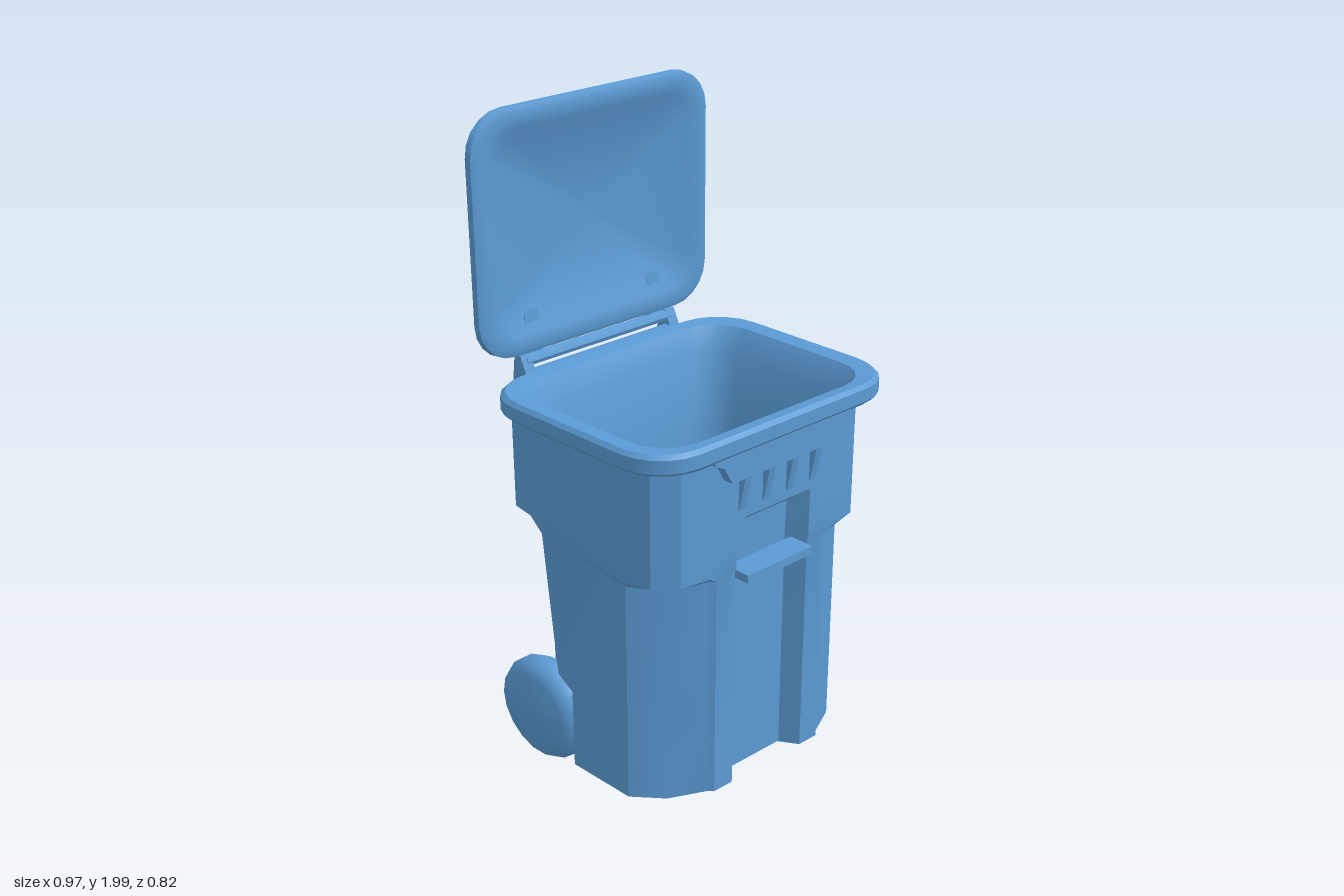
import * as THREE from 'three';
import { toCreasedNormals } from 'three/addons/utils/BufferGeometryUtils.js';

const material = new THREE.MeshStandardMaterial({ color: 0x5b9bd5, side: THREE.DoubleSide });

// The whole bin leans: depth pushes sideways and width turns slightly backwards.
const skew = new THREE.Matrix4().set(
  1, 0, 0.155, -0.008,
  0, 1, 0, 0,
  -0.055, 0, 1, 0,
  0, 0, 0, 1);

function add(group, name, geometry, crease = 0.6) {
  geometry.applyMatrix4(skew);
  const mesh = new THREE.Mesh(toCreasedNormals(geometry, crease), material);
  mesh.name = name;
  group.add(mesh);
}

// Skin a stack of rings (counter-clockwise seen from +y), with optional end caps.
function loft(rings, capStart, capEnd) {
  const n = rings[0].length, pos = [], idx = [];
  rings.forEach(r => r.forEach(p => pos.push(...p)));
  for (let k = 0; k < rings.length - 1; k++) {
    for (let i = 0; i < n; i++) {
      const a = k * n + i, b = k * n + (i + 1) % n;
      idx.push(a, b, b + n, a, b + n, a + n);
    }
  }
  const cap = (k, flip) => {
    const c = pos.length / 3, sum = [0, 0, 0];
    rings[k].forEach(p => p.forEach((v, j) => { sum[j] += v / n; }));
    pos.push(...sum);
    for (let i = 0; i < n; i++) {
      const a = k * n + i, b = k * n + (i + 1) % n;
      idx.push(c, flip ? b : a, flip ? a : b);
    }
  };
  if (capStart) cap(0, true);
  if (capEnd) cap(rings.length - 1, false);
  const g = new THREE.BufferGeometry();
  g.setAttribute('position', new THREE.Float32BufferAttribute(pos, 3));
  g.setIndex(idx);
  g.computeVertexNormals();
  return g;
}

// Rounded rectangle ring: half width, half depth, corner radius, height, centre z.
function roundRing(hx, hz, r, y, cz = 0, steps = 5) {
  const ring = [];
  for (let q = 0; q < 4; q++) {
    const sx = q < 2 ? 1 : -1, sz = q === 0 || q === 3 ? 1 : -1;
    for (let i = 0; i <= steps; i++) {
      const t = (q + i / steps) * Math.PI / 2;
      ring.push([sx * (hx - r) + r * Math.sin(t), y, cz + sz * (hz - r) + r * Math.cos(t)]);
    }
  }
  return ring;
}

// Side profile of [z, y] points extruded across x.
function sideExtrude(points, width, x) {
  const shape = new THREE.Shape(points.map(p => new THREE.Vector2(...p)));
  const g = new THREE.ExtrudeGeometry(shape, { depth: width, bevelEnabled: false });
  return g.rotateY(-Math.PI / 2).translate(x + width / 2, 0, 0);
}

// Half outlines [x, z] of the body: front corner, then rear corner.
const front = {
  lower: [[0.14, 0.355], [0.21, 0.355], [0.225, 0.34], [0.33, 0.29], [0.4, 0.21]],
  upper: [[0.14, 0.36], [0.24, 0.36], [0.33, 0.345], [0.39, 0.295], [0.412, 0.21]],
};
const rear = {
  well: [[0.4, -0.015], [0.28, -0.03], [0.27, -0.2], [0.26, -0.25]],
  notch: [[0.402, -0.07], [0.355, -0.1], [0.3, -0.19], [0.25, -0.262]],
  notchTop: [[0.408, -0.11], [0.365, -0.125], [0.31, -0.21], [0.26, -0.28]],
  upper: [[0.412, -0.15], [0.4, -0.225], [0.35, -0.28], [0.27, -0.295]],
};

function bodyRing(yFront, yRear, f, r, channelZ) {
  const half = [[0, channelZ], [0.11, channelZ], ...front[f], ...rear[r]]
    .map(([x, z], i) => [x, i < 7 ? yFront : yRear, z]);
  const mirrored = half.slice(1).reverse().map(([x, y, z]) => [-x, y, z]);
  return [...half, ...mirrored];
}

function buildBody(group) {
  add(group, 'body', loft([
    bodyRing(0.07, 0.07, 'lower', 'well', 0.3),
    bodyRing(0.33, 0.33, 'lower', 'well', 0.3),
    bodyRing(0.36, 0.37, 'lower', 'notch', 0.3),
    bodyRing(0.785, 0.83, 'lower', 'notchTop', 0.3),
    bodyRing(0.805, 0.875, 'upper', 'upper', 0.3),
    bodyRing(0.91, 0.95, 'upper', 'upper', 0.305),
    bodyRing(0.955, 1.0, 'upper', 'upper', 0.36),
    bodyRing(1.18, 1.18, 'upper', 'upper', 0.36),
  ], true, false), 0.45);

  // Overhanging rim, funnel and hollow inside
  add(group, 'rimAndInterior', loft([
    roundRing(0.4, 0.305, 0.12, 1.185, 0.05),
    roundRing(0.445, 0.338, 0.14, 1.175, 0.05),
    roundRing(0.453, 0.345, 0.14, 1.185, 0.05),
    roundRing(0.453, 0.345, 0.14, 1.225, 0.05),
    roundRing(0.443, 0.336, 0.14, 1.237, 0.05),
    roundRing(0.395, 0.3, 0.12, 1.232, 0.05),
    roundRing(0.345, 0.262, 0.1, 1.16, 0.045),
    roundRing(0.325, 0.24, 0.1, 0.9, 0.04),
    roundRing(0.26, 0.19, 0.1, 0.4, 0.04),
    roundRing(0.24, 0.17, 0.1, 0.17, 0.04),
    roundRing(0.19, 0.13, 0.08, 0.11, 0.04),
  ], false, true));
}

function buildFrontDetails(group) {
  // Apron hanging below the rim
  const apron = new THREE.Shape([[-0.26, 1.19], [-0.25, 1.165], [-0.22, 1.15], [-0.19, 1.095],
    [0.19, 1.095], [0.22, 1.15], [0.25, 1.165], [0.26, 1.19]].map(p => new THREE.Vector2(...p)));
  add(group, 'frontApron', new THREE.ExtrudeGeometry(apron,
    { depth: 0.05, bevelEnabled: false }).translate(0, 0, 0.34));

  // Tapered ribs under the apron
  for (const x of [-0.125, -0.035, 0.055, 0.145]) {
    add(group, 'frontRib', sideExtrude([[0.35, 0.98], [0.363, 0.985], [0.385, 1.1], [0.35, 1.1]], 0.022, x));
  }

  // Lift bar across the channel
  add(group, 'liftBar', new THREE.BoxGeometry(0.25, 0.026, 0.08).translate(-0.01, 0.78, 0.358));
}

function buildHinge(group) {
  for (const s of [-1, 1]) {
    add(group, 'hingeArm', sideExtrude([[-0.28, 0.9], [-0.305, 0.9], [-0.315, 1.02], [-0.342, 1.12],
      [-0.35, 1.2], [-0.34, 1.28], [-0.315, 1.28], [-0.28, 1.2]], 0.035, s * 0.27));
  }
  // Stepped bridge and bars between the arms
  add(group, 'hingeBridge', sideExtrude([[-0.28, 1.14], [-0.3, 1.14], [-0.315, 1.19],
    [-0.315, 1.235], [-0.28, 1.235]], 0.54, 0));
  for (const [y, z] of [[1.26, -0.322], [1.205, -0.325]]) {
    add(group, 'hingeBar', new THREE.CylinderGeometry(0.018, 0.018, 0.54, 8)
      .rotateZ(Math.PI / 2).translate(0, y, z));
  }
}

function buildLid(group) {
  // Half width, half height, corner radius, depth: raised back, flange, dished inside
  const rings = [
    [0.28, 0.24, 0.07, -0.378], [0.325, 0.285, 0.08, -0.37], [0.345, 0.305, 0.09, -0.355],
    [0.41, 0.35, 0.11, -0.35], [0.42, 0.36, 0.12, -0.338], [0.418, 0.358, 0.12, -0.32],
    [0.4, 0.34, 0.11, -0.313], [0.36, 0.3, 0.09, -0.318], [0.325, 0.265, 0.07, -0.338],
  ].map(r => roundRing(...r));
  add(group, 'lid', loft(rings, true, true).rotateX(Math.PI / 2).translate(0, 1.64, 0));

  // Bulged band and knuckles on the back of the lid
  add(group, 'lidBackBand', sideExtrude([[-0.345, 1.36], [-0.365, 1.38], [-0.378, 1.46], [-0.39, 1.56],
    [-0.392, 1.64], [-0.376, 1.7], [-0.345, 1.7]], 0.6, 0));
  for (const s of [-1, 1]) {
    add(group, 'lidKnuckle', sideExtrude([[-0.32, 1.25], [-0.345, 1.25], [-0.362, 1.32],
      [-0.365, 1.42], [-0.34, 1.42]], 0.05, s * 0.225));
  }
}

function buildWheels(group) {
  const profile = [[0, -0.05], [0.125, -0.055], [0.152, -0.04], [0.167, -0.015],
    [0.167, 0.015], [0.152, 0.04], [0.125, 0.055], [0, 0.05]].map(p => new THREE.Vector2(...p));
  for (const s of [-1, 1]) {
    add(group, 'wheel', new THREE.LatheGeometry(profile, 18)
      .rotateZ(Math.PI / 2).translate(s * 0.345, 0.172, -0.19));
  }
  add(group, 'axle', new THREE.CylinderGeometry(0.022, 0.022, 0.64, 10)
    .rotateZ(Math.PI / 2).translate(0, 0.172, -0.19));
}

export function createModel() {
  const group = new THREE.Group();
  group.name = 'wheeledBin';
  [buildBody, buildFrontDetails, buildHinge, buildLid, buildWheels].forEach(build => build(group));
  return group;
}
